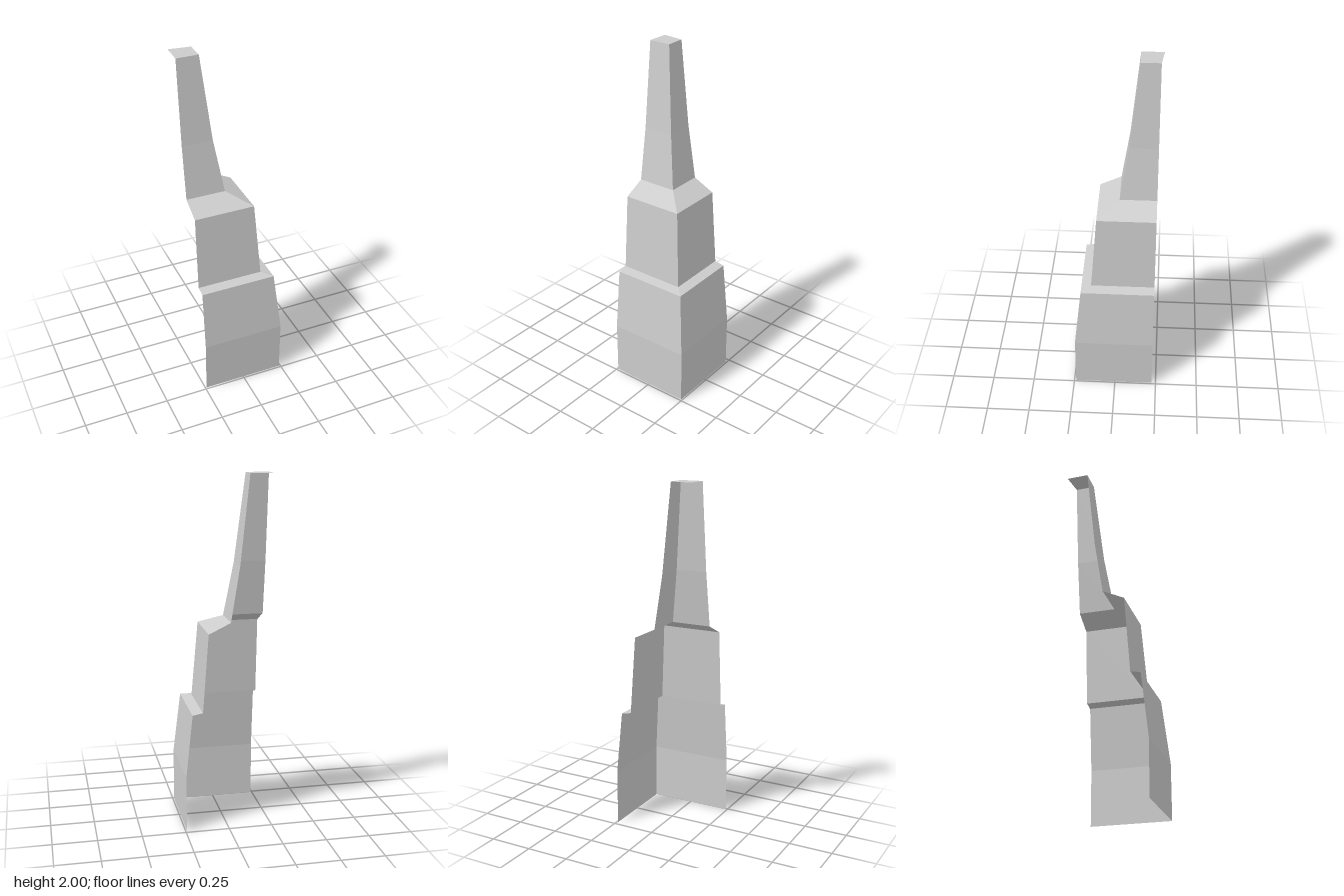
import * as THREE from 'three';

const LEFT = -0.243, BACK = -0.225; // open edges of the corner shell

const material = new THREE.MeshStandardMaterial({
  color: 0xcccccc, flatShading: true, side: THREE.DoubleSide,
});

// Builds a mesh from quads, each four corners counter-clockwise from outside
function quadMesh(name, quads) {
  const positions = [];
  for (const [a, b, c, d] of quads) positions.push(...a, ...b, ...c, ...a, ...c, ...d);
  const geometry = new THREE.BufferGeometry();
  geometry.setAttribute('position', new THREE.Float32BufferAttribute(positions, 3));
  geometry.computeVertexNormals();
  const mesh = new THREE.Mesh(geometry, material);
  mesh.name = name;
  return mesh;
}

// L-shaped cross-section: left end, outer corner, back end
const section = ([y, x, z]) => [[LEFT, y, z], [x, y, z], [x, y, BACK]];

// Front and side walls following a profile of [y, x, z] corner points
function tier(name, profile) {
  const rows = profile.map(section);
  const quads = [];
  for (let i = 0; i < rows.length - 1; i++) {
    for (let j = 0; j < 2; j++) {
      quads.push([rows[i][j], rows[i][j + 1], rows[i + 1][j + 1], rows[i + 1][j]]);
    }
  }
  return quadMesh(name, quads);
}

export function createModel() {
  const group = new THREE.Group();
  group.name = 'steppedTowerCorner';

  // Corner points shared by neighbouring tiers
  const baseTop = [0.684, 0.204, 0.2];
  const middleFoot = [0.695, 0.145, 0.143];
  const middleTop = [1.14, 0.112, 0.11];
  const spireFoot = [1.2, -0.012, -0.014];
  const spireTop = [2, -0.114, -0.115];

  group.add(
    tier('baseTier', [[0, 0.242, 0.239], [0.32, 0.242, 0.239], baseTop]),
    tier('lowerLedge', [baseTop, middleFoot]),
    tier('middleTier', [middleFoot, middleTop]),
    tier('upperLedge', [middleTop, spireFoot]),
    tier('spire', [spireFoot, [1.51, -0.062, -0.063], spireTop]),
  );

  // Top cap, its back corner slightly pulled out
  group.add(quadMesh('spireCap', [[...section(spireTop), [-0.24, 2, -0.24]]]));
  return group;
}
